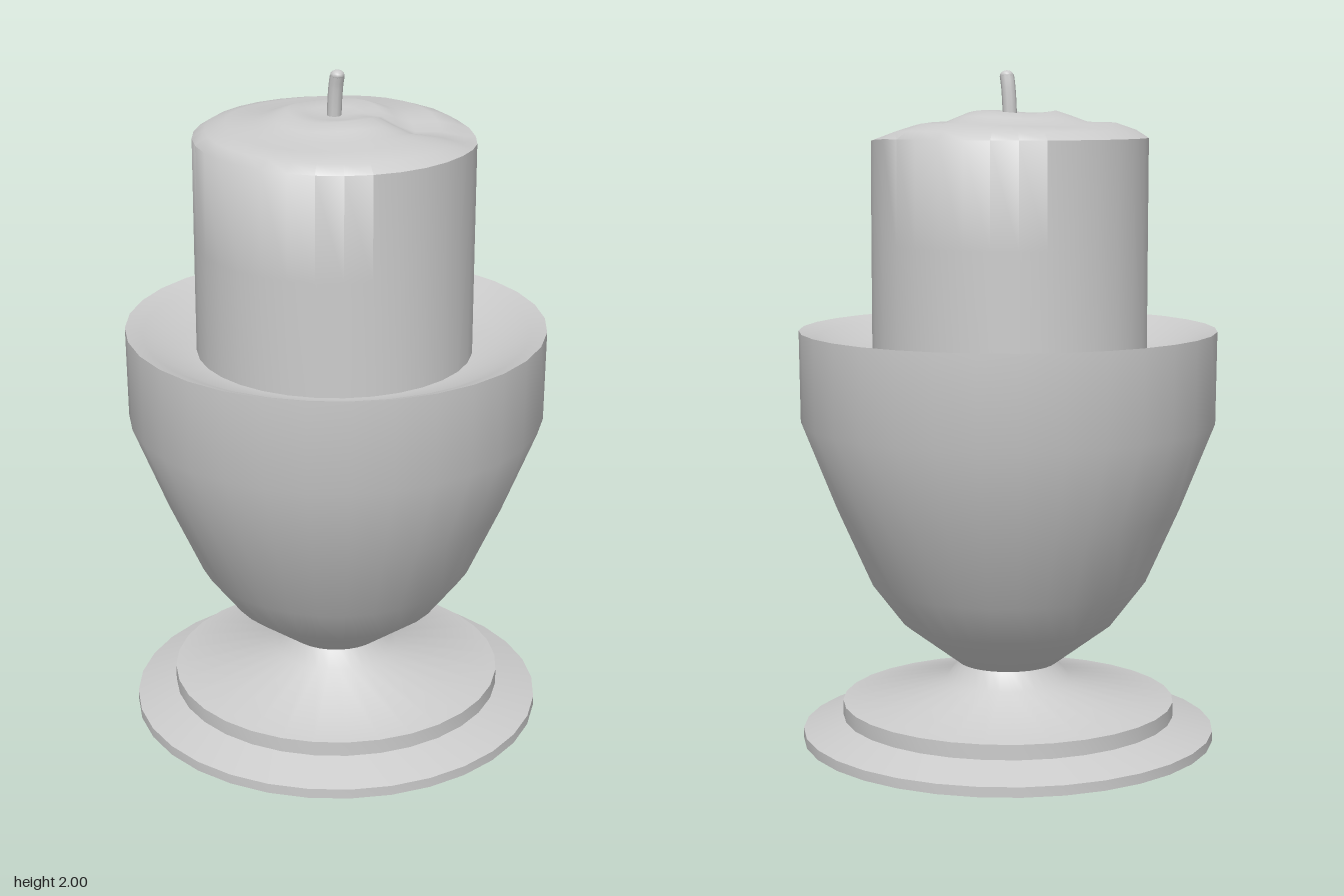
import * as THREE from 'three';
import { toCreasedNormals } from 'three/addons/utils/BufferGeometryUtils.js';

const material = new THREE.MeshStandardMaterial({ color: 0xcccccc, roughness: 0.8 });

function addMesh(group, name, geometry) {
  const mesh = new THREE.Mesh(geometry, material);
  mesh.name = name;
  group.add(mesh);
}

// Profile points run from the bottom centre, up the outside, to the top centre.
function turned(profile, sides) {
  return new THREE.LatheGeometry(profile.map(([r, y]) => new THREE.Vector2(r, y)), sides);
}

// Uneven melted wax: a shallow pool round the wick and a runnel to the back right.
function meltWax(geometry) {
  const p = geometry.attributes.position;
  for (let i = 0; i < p.count; i++) {
    let x = p.getX(i), y = p.getY(i), z = p.getZ(i);
    const r = Math.hypot(x, z), a = Math.atan2(z, x);
    if (y > 1.7) {
      const d = Math.atan2(Math.sin(a + 0.9), Math.cos(a + 0.9));
      const groove = Math.exp(-d * d / 0.1) * THREE.MathUtils.smoothstep(r, 0.06, 0.2);
      y -= 0.032 * groove * (r > 0.38 ? 0.3 : 1);
      if (r > 0.1 && r < 0.35) y += 0.004 * Math.sin(3 * a + 1);
    }
    const swell = 1 + 0.012 * Math.cos(2 * a + 0.5) * (y > 1.7 ? 1 : 0.4);
    p.setXYZ(i, x * swell - 0.008, y, z * swell);
  }
  return geometry;
}

export function createModel() {
  const group = new THREE.Group();
  group.name = 'candleInHolder';

  // Footed cup with a shallow dished top
  const holder = turned([
    [0, 0], [0.62, 0], [0.62, 0.03], [0.5, 0.07], [0.5, 0.115], [0.185, 0.18],
    [0.15, 0.232], [0.32, 0.36], [0.415, 0.485], [0.515, 0.71], [0.617, 0.967],
    [0.62, 1.24], [0.57, 1.222], [0.49, 1.18], [0.41, 1.163], [0, 1.15],
  ], 32);
  addMesh(group, 'holder', toCreasedNormals(holder, 1.0));

  // Pillar candle
  const candle = meltWax(turned([
    [0, 1.14], [0.407, 1.14], [0.407, 1.5], [0.406, 1.805], [0.37, 1.828], [0.31, 1.845],
    [0.23, 1.847], [0.18, 1.865], [0.135, 1.88], [0.08, 1.872], [0.04, 1.867], [0, 1.866],
  ], 32));
  addMesh(group, 'candle', toCreasedNormals(candle, 1.0));

  // Slightly bent wick with a rounded tip
  const path = new THREE.CatmullRomCurve3([
    new THREE.Vector3(-0.01, 1.84, 0), new THREE.Vector3(-0.006, 1.91, 0),
    new THREE.Vector3(0.0, 1.96, 0), new THREE.Vector3(0.006, 1.985, 0),
  ]);
  const wick = new THREE.Group();
  wick.name = 'wick';
  addMesh(wick, 'wickStem', new THREE.TubeGeometry(path, 8, 0.021, 10));
  const tip = new THREE.SphereGeometry(0.021, 10, 8);
  tip.scale(1, 0.72, 1).translate(0.006, 1.985, 0);
  addMesh(wick, 'wickTip', tip);
  group.add(wick);

  return group;
}
